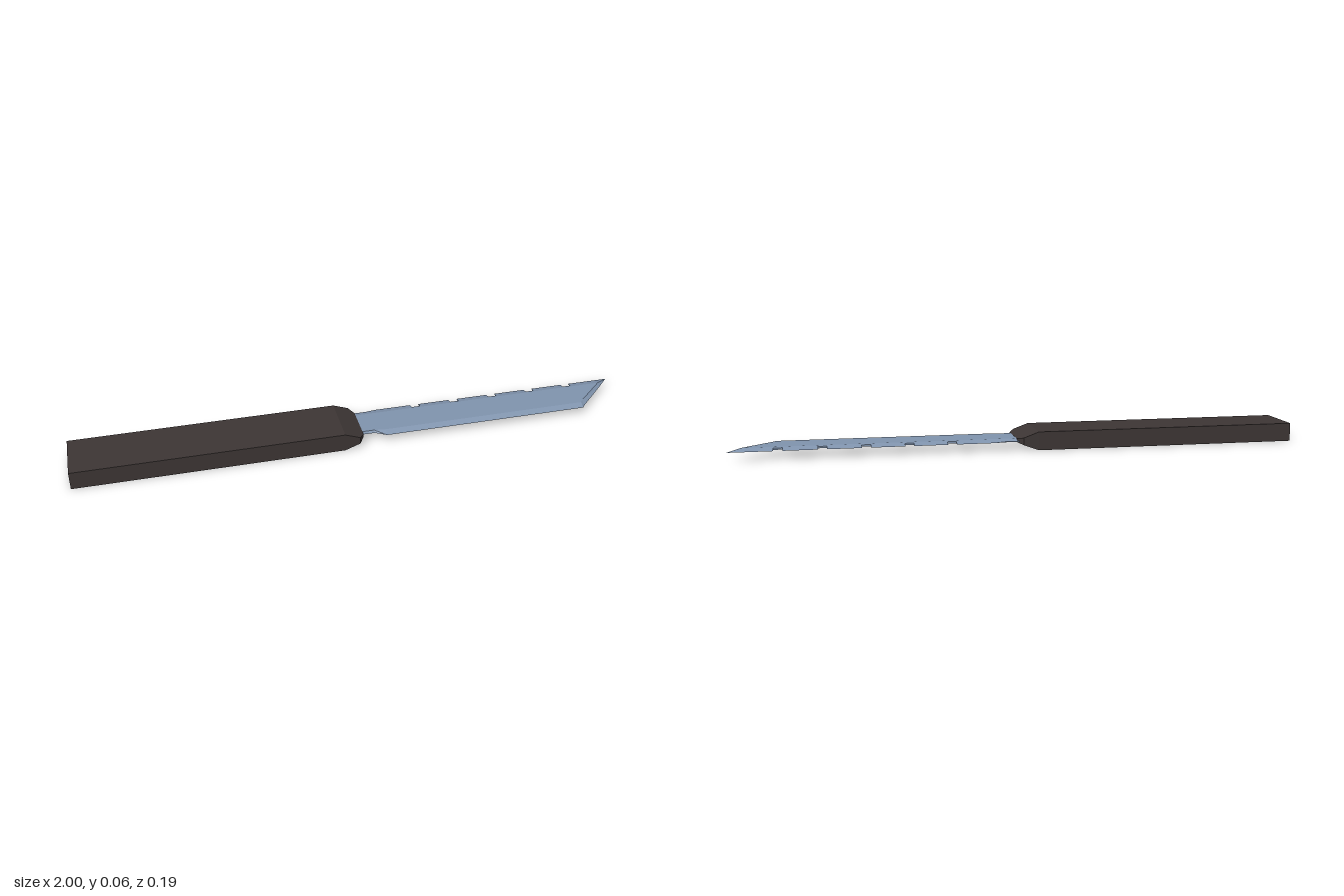
import * as THREE from 'three';

// Lofts rings of [z, y] points along x; each ring runs counter-clockwise seen from +x.
function loft(stations) {
  const pos = [];
  const tri = (a, b, c) => {
    const area = b.clone().sub(a).cross(c.clone().sub(a)).length();
    if (area > 1e-9) for (const p of [a, b, c]) pos.push(p.x, p.y, p.z);
  };
  const rings = stations.map(([x, ring]) => ring.map(([z, y]) => new THREE.Vector3(x, y, z)));
  const n = rings[0].length;
  for (let s = 0; s < rings.length - 1; s++) {
    for (let i = 0; i < n; i++) {
      const j = (i + 1) % n;
      tri(rings[s][i], rings[s][j], rings[s + 1][j]);
      tri(rings[s][i], rings[s + 1][j], rings[s + 1][i]);
    }
  }
  // End caps
  const first = rings[0], last = rings[rings.length - 1];
  for (let i = 1; i < n - 1; i++) {
    tri(first[0], first[i + 1], first[i]);
    tri(last[0], last[i], last[i + 1]);
  }
  const geo = new THREE.BufferGeometry();
  geo.setAttribute('position', new THREE.Float32BufferAttribute(pos, 3));
  geo.computeVertexNormals();
  return geo;
}

export function createModel() {
  const handleMat = new THREE.MeshStandardMaterial({ color: 0x3d3635 });
  handleMat.name = 'dark handle';
  const steelMat = new THREE.MeshStandardMaterial({ color: 0x8094ae });
  steelMat.name = 'blue steel';
  const group = new THREE.Group();
  group.name = 'knife';
  const add = (name, geo, mat) => {
    const mesh = new THREE.Mesh(geo, mat);
    mesh.name = name;
    group.add(mesh);
  };

  // Handle: rectangular bar whose nose tapers in height, with clipped corners
  const midY = 0.0325;
  const block = (x, w, h) => [x, [[-w, midY - h], [-w, midY + h], [w, midY + h], [w, midY - h]]];
  add('handle', loft([
    block(-1, 0.096, 0.0325),
    block(-0.06, 0.096, 0.0325),
    block(-0.006, 0.096, 0.0125),
    block(0.012, 0.068, 0.006),
  ]), handleMat);

  // Blade: flat underside, bevels on top along the spine and the cutting edge
  const y0 = 0.029, y1 = 0.038, flatZ = -0.053, spineZ = -0.085, notchZ = -0.062;
  const section = (x, spine, crease, edge) => {
    const spineY = y0 + (y1 - y0) * Math.max(0, (spine - spineZ) / (flatZ - spineZ));
    const inner = Math.min(flatZ, crease);
    return [x, [[spine, y0], [spine, spineY], [inner, y1], [crease, y1], [edge, y0]]];
  };
  const stations = [
    section(-0.02, -0.077, 0.052, 0.057),
    section(0.055, -0.077, 0.052, 0.057),
    section(0.095, spineZ, 0.057, 0.08),
  ];
  // Five square notches in the spine
  for (let k = 0; k < 5; k++) {
    const a = 0.226 + 0.1475 * k, b = a + 0.031;
    // The last notch ends where the slanted point begins
    const end = k === 4 ? 0.838 : b;
    stations.push(section(a, spineZ, 0.057, 0.08), section(a, notchZ, 0.057, 0.08));
    stations.push(section(end, notchZ, 0.057, 0.08));
    if (k === 4) {
      stations.push(section(b, notchZ, 0.045, 0.068), section(b, spineZ, 0.045, 0.068));
    } else {
      stations.push(section(b, spineZ, 0.057, 0.08));
    }
  }
  // Slanted point
  stations.push(section(0.953, flatZ - 0.032, flatZ, -0.037));
  stations.push([1, Array.from({ length: 5 }, () => [spineZ, y0])]);
  add('blade', loft(stations), steelMat);

  return group;
}
